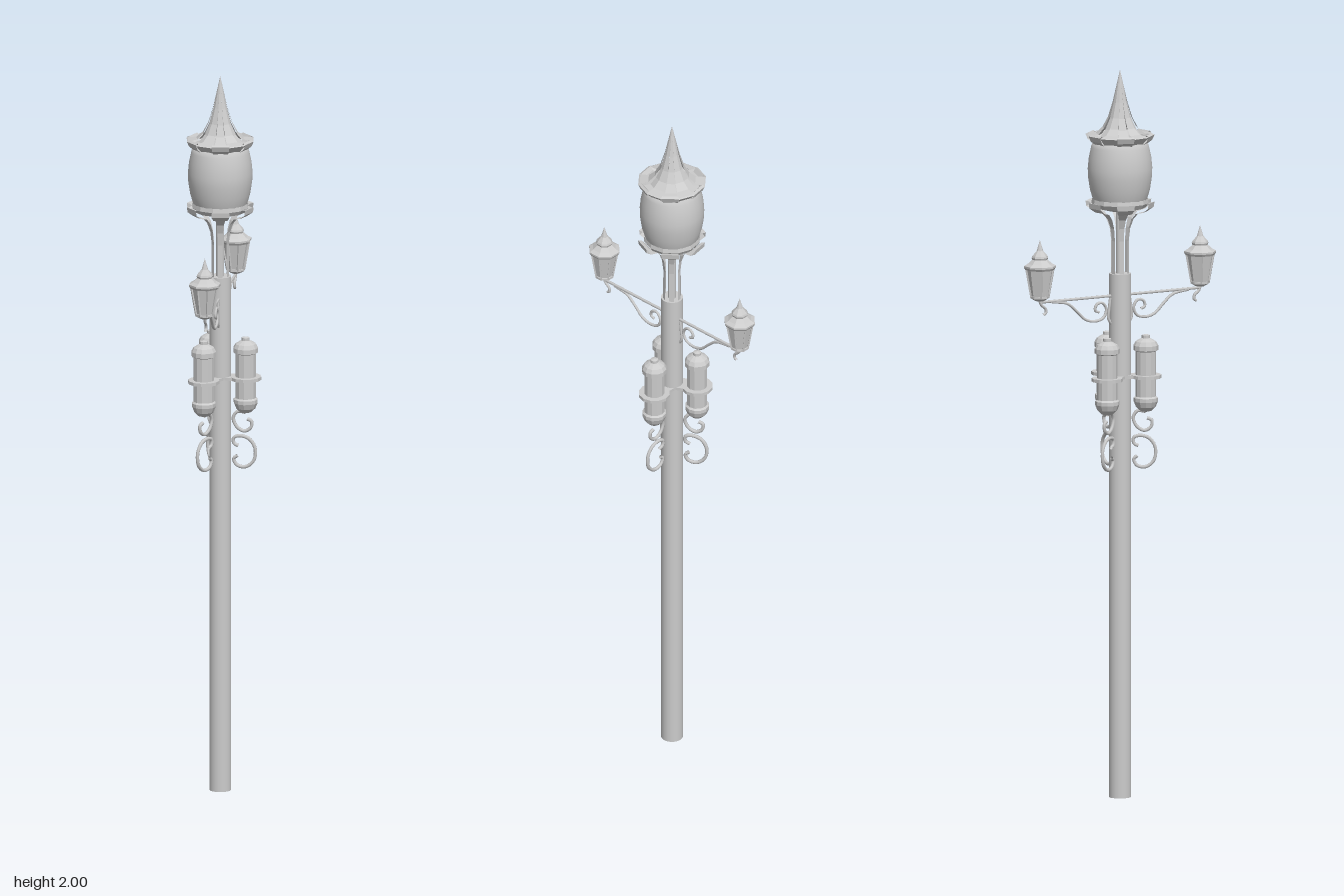
import * as THREE from 'three';

const mat = new THREE.MeshStandardMaterial({ color: 0xcccccc, side: THREE.DoubleSide });
const flat = new THREE.MeshStandardMaterial({ color: 0xcccccc, side: THREE.DoubleSide, flatShading: true });
const rad = THREE.MathUtils.degToRad;

function add(parent, name, geometry, material = mat, x = 0, y = 0, z = 0) {
  const mesh = new THREE.Mesh(geometry, material);
  mesh.name = name;
  mesh.position.set(x, y, z);
  parent.add(mesh);
  return mesh;
}

// [radius, height] pairs turned about the vertical axis
function lathe(profile, sides, start = 0, sweep = Math.PI * 2) {
  return new THREE.LatheGeometry(profile.map(p => new THREE.Vector2(...p)), sides, start, sweep);
}

// smooth rod through [reach, height] pairs in the x-y plane
function rod(points, radius, steps = 48) {
  const curve = new THREE.CatmullRomCurve3(points.map(([x, y]) => new THREE.Vector3(x, y, 0)));
  return new THREE.TubeGeometry(curve, steps, radius, 6);
}

// Wall canister with collar, centred on its own axis
function canister() {
  const g = new THREE.Group();
  g.name = 'canister';
  add(g, 'canisterBody', lathe([
    [0, 1.058], [0.016, 1.062], [0.027, 1.073], [0.033, 1.088], [0.033, 1.098], [0.028, 1.102],
    [0.028, 1.226], [0.034, 1.229], [0.034, 1.242], [0.028, 1.253], [0.016, 1.26],
    [0.011, 1.262], [0.011, 1.27], [0, 1.273],
  ], 12), flat);
  add(g, 'collar', new THREE.CylinderGeometry(0.043, 0.043, 0.009, 12), flat, 0, 1.157);
  return g;
}

// Eight-sided side lantern standing on y = 0
function sideLantern() {
  const g = new THREE.Group();
  g.name = 'sideLantern';
  const turn = Math.PI / 8;
  add(g, 'lanternBase', lathe([[0, -0.008], [0.012, -0.006], [0.026, 0.002], [0.026, 0.008], [0, 0.008]], 8, turn), flat);
  add(g, 'lanternGlass', lathe([[0.022, 0.006], [0.035, 0.082]], 8, turn), flat);
  for (let i = 0; i < 8; i++) {
    const a = turn + i * Math.PI / 4;
    const at = (r, y) => new THREE.Vector3(r * Math.sin(a), y, r * Math.cos(a));
    add(g, 'lanternRib', new THREE.TubeGeometry(new THREE.LineCurve3(at(0.024, 0.004), at(0.038, 0.084)), 1, 0.003, 4), flat);
  }
  add(g, 'lanternRoof', lathe([
    [0, 0.08], [0.04, 0.08], [0.044, 0.086], [0.044, 0.091], [0.033, 0.097], [0.021, 0.108],
    [0.023, 0.113], [0.021, 0.118], [0.009, 0.132], [0.005, 0.145], [0, 0.162],
  ], 8, turn), flat);
  return g;
}

export function createModel() {
  const model = new THREE.Group();
  model.name = 'streetLamp';
  const lamp = new THREE.Group();
  lamp.name = 'lampPost';
  lamp.position.x = -0.01;
  model.add(lamp);

  // Post and the slim core above it
  add(lamp, 'post', new THREE.CylinderGeometry(0.03, 0.03, 1.44, 20), mat, 0, 0.72);
  add(lamp, 'neckCore', new THREE.CylinderGeometry(0.011, 0.011, 0.2, 10), mat, 0, 1.54);

  // Globe
  add(lamp, 'globe', lathe([
    [0, 1.625], [0.066, 1.625], [0.074, 1.645], [0.082, 1.672], [0.087, 1.705], [0.088, 1.73],
    [0.085, 1.76], [0.079, 1.788], [0.072, 1.808], [0, 1.808],
  ], 28));
  add(lamp, 'lowerRim', lathe([[0.03, 1.612], [0.07, 1.622], [0.078, 1.634], [0.076, 1.646]], 12, rad(115)), flat);

  // Crown and cup, made of six plain sectors between six curled ones
  const sector = rad(30);
  for (let i = 0; i < 6; i++) {
    const start = rad(115 + i * 60);
    add(lamp, 'crownCurl', lathe([
      [0.075, 1.798], [0.088, 1.808], [0.094, 1.822], [0.087, 1.826], [0.078, 1.816], [0.06, 1.818],
      [0.044, 1.838], [0.03, 1.868], [0.019, 1.91], [0.009, 1.96], [0, 2.0],
    ], 1, start, sector), flat);
    add(lamp, 'crownPanel', lathe([
      [0.072, 1.798], [0.094, 1.82], [0.09, 1.822], [0.066, 1.826], [0.048, 1.842],
      [0.033, 1.87], [0.02, 1.912], [0.009, 1.96], [0, 2.0],
    ], 1, start + sector, sector), flat);
    add(lamp, 'cupPetal', lathe([
      [0.02, 1.43], [0.025, 1.44], [0.024, 1.53], [0.028, 1.565], [0.037, 1.59], [0.052, 1.607],
      [0.075, 1.612], [0.092, 1.624], [0.094, 1.638], [0.084, 1.636], [0.074, 1.626],
    ], 1, start, sector), flat);
  }

  // Three canisters round the post, each with a scroll below
  for (let i = 0; i < 3; i++) {
    const station = new THREE.Group();
    station.name = 'canisterStation';
    station.rotation.y = i * Math.PI * 2 / 3;
    lamp.add(station);
    const c = canister();
    c.position.x = 0.07;
    station.add(c);
    add(station, 'collarLink', new THREE.BoxGeometry(0.06, 0.008, 0.05), flat, 0.035, 1.157);
    add(station, 'upperScroll', rod([
      [0.07, 1.06], [0.048, 1.062], [0.036, 1.045], [0.045, 1.02], [0.066, 1.008], [0.084, 1.018],
      [0.086, 1.036], [0.074, 1.042],
    ], 0.005));
    add(station, 'lowerScroll', rod([
      [0.05, 0.966], [0.038, 0.972], [0.037, 0.988], [0.055, 0.994], [0.08, 0.986], [0.096, 0.96],
      [0.092, 0.926], [0.07, 0.908], [0.046, 0.912], [0.037, 0.93], [0.047, 0.938],
    ], 0.005));
  }

  // Two arms carrying side lanterns, towards front and back
  for (const side of [1, -1]) {
    const arm = new THREE.Group();
    arm.name = 'lanternArm';
    arm.rotation.y = -side * Math.PI / 2;
    lamp.add(arm);
    add(arm, 'armBar', rod([[0.02, 1.38], [0.14, 1.38], [0.253, 1.38]], 0.004, 8));
    add(arm, 'armEndHook', rod([[0.253, 1.385], [0.247, 1.372], [0.235, 1.362], [0.233, 1.35], [0.24, 1.345]], 0.004, 16));
    add(arm, 'armScroll', rod([
      [0.215, 1.378], [0.165, 1.369], [0.135, 1.345], [0.11, 1.322], [0.08, 1.314], [0.052, 1.322],
      [0.043, 1.345], [0.056, 1.363], [0.074, 1.359], [0.078, 1.343], [0.066, 1.338],
    ], 0.004));
    add(arm, 'armBrace', rod([[0.025, 1.3], [0.036, 1.318], [0.034, 1.345], [0.03, 1.375]], 0.004, 16));
    const lantern = sideLantern();
    lantern.position.set(0.252, 1.39, 0);
    arm.add(lantern);
  }
  return model;
}
